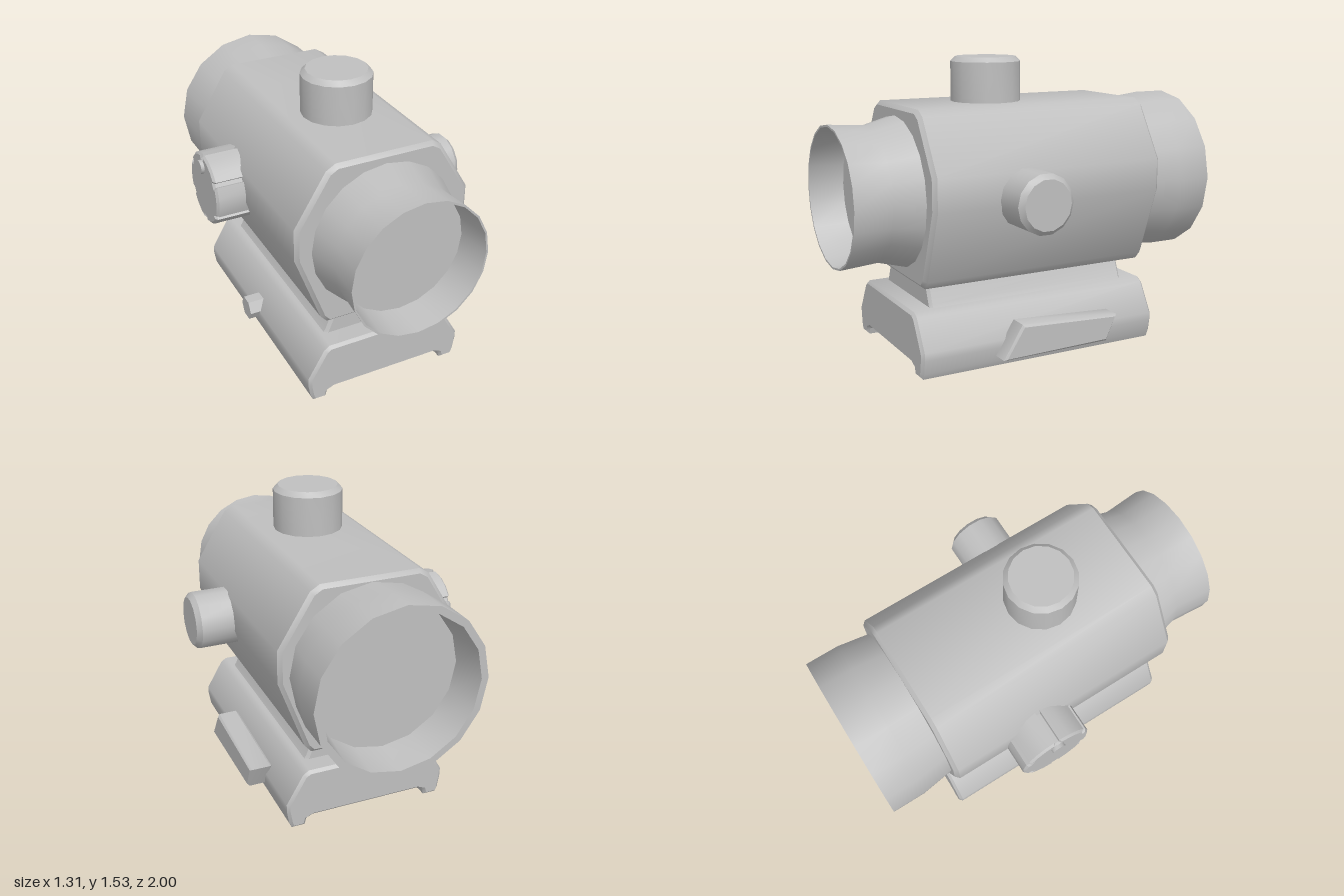
import * as THREE from 'three';
import { toCreasedNormals } from 'three/addons/utils/BufferGeometryUtils.js';

const CX = -0.0125; // optical axis
const CY = 0.86;
const grey = new THREE.MeshStandardMaterial({ color: 0xbfbfbf });
grey.name = 'grey';

function add(parent, name, geometry, crease = 0.7) {
  const mesh = new THREE.Mesh(toCreasedNormals(geometry, crease), grey);
  mesh.name = name;
  parent.add(mesh);
  return mesh;
}

// Revolved part around y; points are [radius, height], bottom to top
function turned(points, sides) {
  return new THREE.LatheGeometry(points.map(p => new THREE.Vector2(p[0], p[1])), sides);
}

// Bevelled prism along z from 0 to length, keeping the given outline
function prism(points, length, bevel) {
  const shape = new THREE.Shape(points.map(p => new THREE.Vector2(p[0], p[1])));
  return new THREE.ExtrudeGeometry(shape, {
    depth: length - 2 * bevel, bevelEnabled: bevel > 0, bevelSegments: 1,
    bevelSize: bevel, bevelThickness: bevel, bevelOffset: -bevel,
  }).translate(0, 0, bevel);
}

// Closes a right-hand outline by mirroring it
function mirrored(half) {
  return [...half, ...half.map(([x, y]) => [-x, y]).reverse()];
}

// Chamfered cap, standing on y = 0
function cap(radius, height, sides) {
  return turned([[radius, 0], [radius, height - 0.025], [radius - 0.025, height], [0, height]], sides);
}

export function createModel() {
  const group = new THREE.Group();
  group.name = 'opticalSight';

  // Eight-sided housing
  const housing = mirrored([[0.30, 0.42], [0.335, 0.46], [0.47, 0.83], [0.47, 1.0], [0.305, 1.27], [0.255, 1.30]]);
  add(group, 'housing', prism(housing, 1.3, 0.02).translate(CX, 0, -0.65));

  // Front and rear tubes, each with a recessed lens
  add(group, 'frontTube', turned([[0.388, 0.63], [0.388, 0.65], [0.347, 0.8], [0.362, 1], [0.352, 1], [0.332, 0.82]], 20)
    .rotateX(Math.PI / 2).translate(CX, CY, 0));
  add(group, 'frontLens', turned([[0.334, 0.82], [0, 0.82]], 20)
    .rotateX(Math.PI / 2).translate(CX, CY, 0));
  add(group, 'rearTube', turned([[0.417, 0.63], [0.417, 0.65], [0.442, 0.82], [0.442, 1], [0.405, 1], [0.385, 0.8]], 16)
    .rotateX(-Math.PI / 2).translate(CX, CY, 0));
  add(group, 'rearLens', turned([[0.387, 0.8], [0, 0.8]], 16)
    .rotateX(-Math.PI / 2).translate(CX, CY, 0));

  // Adjustment caps on the top and left
  add(group, 'topCap', cap(0.182, 0.26, 16).translate(-0.014, 1.27, 0.14));
  add(group, 'sideCap', cap(0.153, 0.295, 14).rotateZ(-Math.PI / 2).translate(0.36, CY, 0.145));

  // Notched dial on the right
  const outline = [];
  for (let k = 0; k < 6; k++) {
    const a = Math.PI / 6 + k * Math.PI / 3;
    const polar = (r, t) => outline.push([r * Math.cos(t), r * Math.sin(t)]);
    polar(0.176, a - 0.06);
    polar(0.176, a + 0.06);
    for (let i = 0; i <= 3; i++) polar(0.196, a + 0.07 + i / 3 * (Math.PI / 3 - 0.14));
  }
  add(group, 'dial', prism(outline, 0.28, 0.012).rotateY(-Math.PI / 2).translate(-0.36, CY, -0.15));
  add(group, 'dialScrew', new THREE.CylinderGeometry(0.037, 0.037, 0.03, 12)
    .rotateZ(Math.PI / 2).translate(-0.643, 0.988, -0.15));

  // Neck between housing and base
  add(group, 'neck', prism(mirrored([[0.305, 0.30], [0.285, 0.33], [0.245, 0.43]]), 1.14, 0.015)
    .translate(CX, 0, -0.54), 0.4);

  // Rail base with a channel underneath
  const base = mirrored([[0.295, 0.05], [0.33, 0.035], [0.34, 0], [0.41, 0], [0.423, 0.03], [0.435, 0.1],
    [0.435, 0.14], [0.345, 0.295], [0.315, 0.315]]);
  add(group, 'base', prism(base, 1.36, 0.015).translate(CX, 0, -0.65));

  // Clamp lever on the left, hexagonal nut on the right
  const lever = [[-0.305, 0.06], [0.30, 0.065], [0.36, 0.2], [-0.2, 0.232]];
  add(group, 'clampLever', prism(lever, 0.12, 0.012).rotateY(Math.PI / 2).translate(0.395, 0, 0));
  add(group, 'clampNut', new THREE.CylinderGeometry(0.0635, 0.0635, 0.12, 6)
    .rotateZ(Math.PI / 2).translate(-0.442, 0.145, 0.02));

  // Hexagon points face front and back
  const nut = group.getObjectByName('clampNut');
  nut.geometry.computeBoundingBox();
  return group;
}
